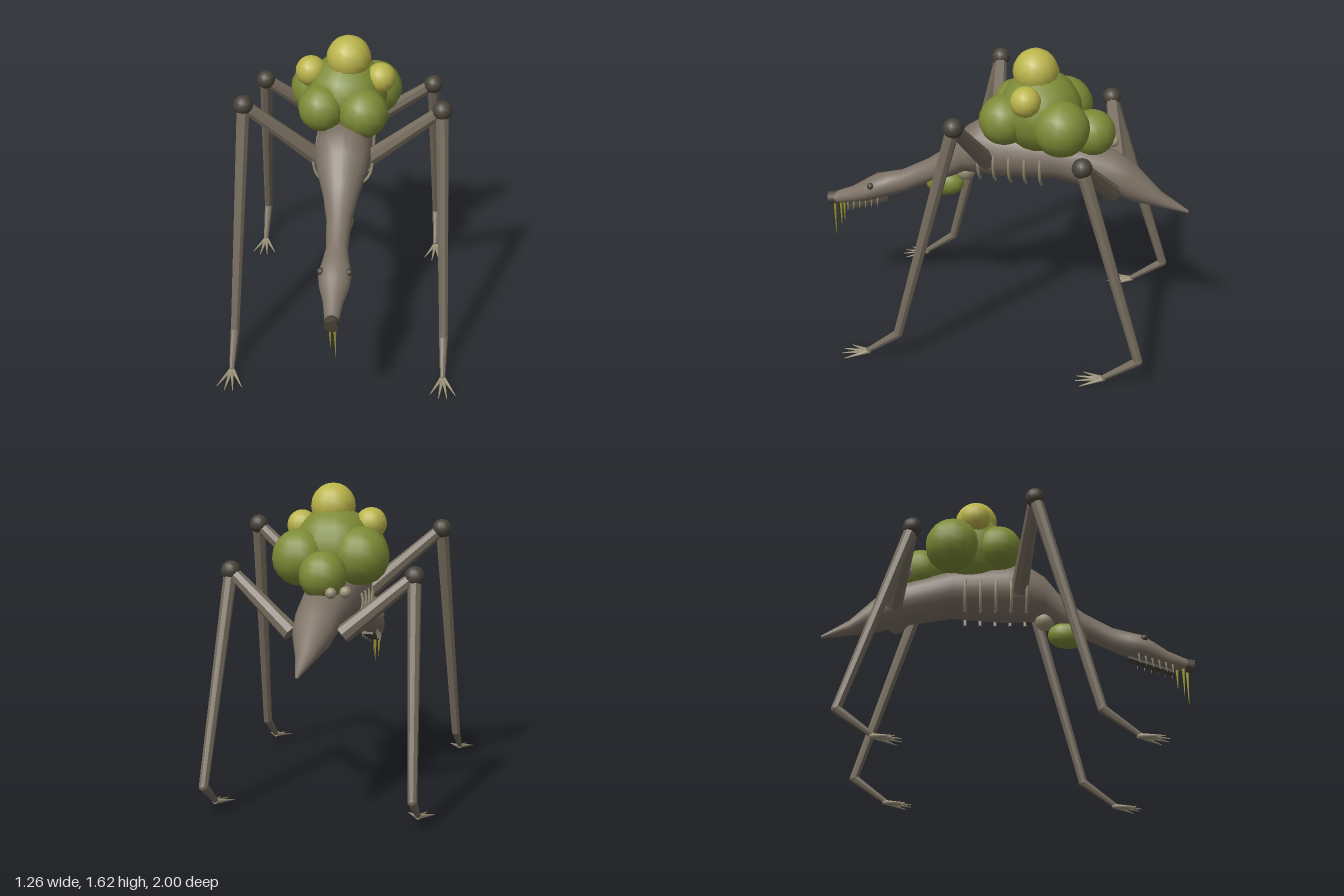
import * as THREE from 'three';

const mat = (name, color, opts = {}) => {
  const m = new THREE.MeshStandardMaterial({ color, ...opts });
  m.name = name;
  return m;
};

export function createModel() {
  const root = new THREE.Group();
  root.name = 'creature';
  const skin = mat('skin', 0x7c7165);
  const limb = mat('limb', 0x756b5d, { flatShading: true });
  const dark = mat('darkJoint', 0x484339);
  const sac = mat('oliveSac', 0x7d8b36);
  const yellow = mat('yellowSac', 0xbab44a);
  const bone = mat('bone', 0x9a9178);
  const slime = mat('slime', 0x9a962f);

  const add = (name, geo, material, parent = root) => {
    const m = new THREE.Mesh(geo, material);
    m.name = name;
    parent.add(m);
    return m;
  };
  const ball = (name, [x, y, z], r, material, parent = root, s = [1, 1, 1]) => {
    const m = add(name, new THREE.SphereGeometry(r, 14, 10), material, parent);
    m.position.set(x, y, z);
    m.scale.set(...s);
    return m;
  };
  // Tapered rod from point a (radius ra) to point b (radius rb)
  const rod = (name, a, b, ra, rb, sides, material, parent = root) => {
    const A = new THREE.Vector3(...a), B = new THREE.Vector3(...b);
    const d = B.clone().sub(A);
    const m = add(name, new THREE.CylinderGeometry(rb, ra, d.length(), sides), material, parent);
    m.position.copy(A).addScaledVector(d, 0.5);
    m.quaternion.setFromUnitVectors(new THREE.Vector3(0, 1, 0), d.normalize());
    return m;
  };

  // Body, neck and head: elliptical rings as [z, centre y, half height, half width]
  const rings = [
    [-1, 0.778, 0.008, 0.008], [-0.85, 0.835, 0.042, 0.045], [-0.7, 0.92, 0.1, 0.1],
    [-0.6, 0.968, 0.113, 0.115], [-0.3, 1.04, 0.13, 0.14], [0, 1.045, 0.155, 0.15],
    [0.1, 1.055, 0.158, 0.15], [0.2, 1.02, 0.125, 0.125], [0.3, 0.93, 0.088, 0.088],
    [0.42, 0.86, 0.07, 0.064], [0.57, 0.782, 0.066, 0.056], [0.65, 0.755, 0.07, 0.07],
    [0.72, 0.733, 0.072, 0.085], [0.78, 0.705, 0.062, 0.075], [0.86, 0.668, 0.047, 0.05],
    [0.97, 0.634, 0.033, 0.034],
  ];
  const n = 20, pos = [], idx = [];
  rings.forEach(([z, y, h, w], i) => {
    for (let j = 0; j < n; j++) {
      const t = (j / n) * Math.PI * 2;
      pos.push(w * Math.cos(t), y + h * Math.sin(t), z);
      if (i < rings.length - 1) {
        const a = i * n + j, b = i * n + ((j + 1) % n);
        idx.push(a, b, a + n, b, b + n, a + n);
      }
    }
  });
  const bodyGeo = new THREE.BufferGeometry();
  bodyGeo.setAttribute('position', new THREE.Float32BufferAttribute(pos, 3));
  bodyGeo.setIndex(idx);
  bodyGeo.computeVertexNormals();
  add('body', bodyGeo, skin);
  ball('tailTip', [0, 0.778, -0.992], 0.008, skin);

  // Snout end, jaw and eyes
  rod('snout', [0, 0.636, 0.955], [0, 0.63, 1], 0.036, 0.036, 12, dark);
  const jaw = add('jaw', new THREE.BoxGeometry(0.06, 0.014, 0.25), dark);
  jaw.position.set(0, 0.63, 0.765);
  jaw.rotation.x = 0.33;
  for (const s of [-1, 1]) {
    ball('eye', [s * 0.07, 0.763, 0.73], 0.019, dark);
    for (let i = 0; i < 6; i++) {
      const z = 0.7 + i * 0.036, y = 0.683 - i * 0.011;
      rod('tooth', [s * (0.046 - i * 0.003), y, z], [s * (0.045 - i * 0.003), y - 0.055, z + 0.005],
        0.007, 0.001, 5, bone);
    }
  }

  // Slime hanging from the mouth: [x, z, top y, bottom y]
  for (const [x, z, top, bottom] of [
    [0.015, 0.965, 0.61, 0.42], [-0.012, 0.94, 0.61, 0.46], [0.012, 0.91, 0.62, 0.505],
  ]) rod('slimeDrip', [x, top, z], [x + 0.005, bottom, z], 0.009, 0.001, 6, slime);

  // Sacs on the back
  const sacs = new THREE.Group();
  sacs.name = 'backSacs';
  root.add(sacs);
  for (const [x, y, z, r, m] of [
    [0, 1.28, -0.2, 0.22, sac], [-0.12, 1.265, -0.05, 0.125, sac], [0.1, 1.25, -0.03, 0.132, sac],
    [0.15, 1.25, -0.34, 0.147, sac], [-0.155, 1.26, -0.3, 0.15, sac], [0, 1.18, -0.475, 0.123, sac],
    [0.015, 1.5, -0.175, 0.118, yellow], [-0.185, 1.415, -0.18, 0.082, yellow],
    [0.185, 1.395, -0.16, 0.08, yellow],
    [-0.13, 1.11, -0.54, 0.03, bone], [-0.065, 1.11, -0.58, 0.028, bone],
  ]) ball('sac', [x, y, z], r, m, sacs);

  // Throat sacs
  ball('throatSac', [0, 0.805, 0.325], 0.07, sac, root, [1, 1.05, 1.55]);
  ball('throatNodule', [0, 0.89, 0.205], 0.055, bone);

  // Ribs on both flanks
  for (const s of [-1, 1]) for (let i = 0; i < 5; i++) {
    const z = 0.1 - i * 0.0825;
    const curve = new THREE.CatmullRomCurve3([[0.145, 1.06], [0.154, 1.01], [0.134, 0.94], [0.092, 0.895]]
      .map(([x, y]) => new THREE.Vector3(s * x, y, z)));
    add('rib', new THREE.TubeGeometry(curve, 10, 0.008, 6), bone);
  }

  // Legs: hip, knee, ankle and foot points, mirrored in x
  const legs = {
    frontLeg: [[0.11, 1.01, 0.06], [0.507, 1.36, 0.13], [0.56, 0.16, 0.44], [0.56, 0.028, 0.615]],
    backLeg: [[0.13, 0.91, -0.61], [0.468, 1.195, -0.505], [0.523, 0.16, -0.835], [0.523, 0.028, -0.655]],
  };
  for (const [name, points] of Object.entries(legs)) for (const s of [-1, 1]) {
    const leg = new THREE.Group();
    leg.name = name;
    root.add(leg);
    const [hip, knee, ankle, foot] = points.map(([x, y, z]) => [s * x, y, z]);
    rod('thigh', hip, knee, 0.047, 0.033, 8, limb, leg);
    ball('knee', knee, 0.051, dark, leg);
    rod('shin', knee, ankle, 0.035, 0.024, 8, limb, leg);
    ball('ankle', ankle, 0.024, limb, leg);
    rod('foot', ankle, foot, 0.024, 0.014, 8, limb, leg);
    for (const [dx, dz] of [[-0.066, 0.11], [-0.022, 0.14], [0.022, 0.14], [0.066, 0.11]])
      rod('toe', [foot[0], 0.026, foot[2] - 0.01], [foot[0] + dx, 0.003, foot[2] + dz],
        0.013, 0.002, 6, bone, leg);
  }
  return root;
}
